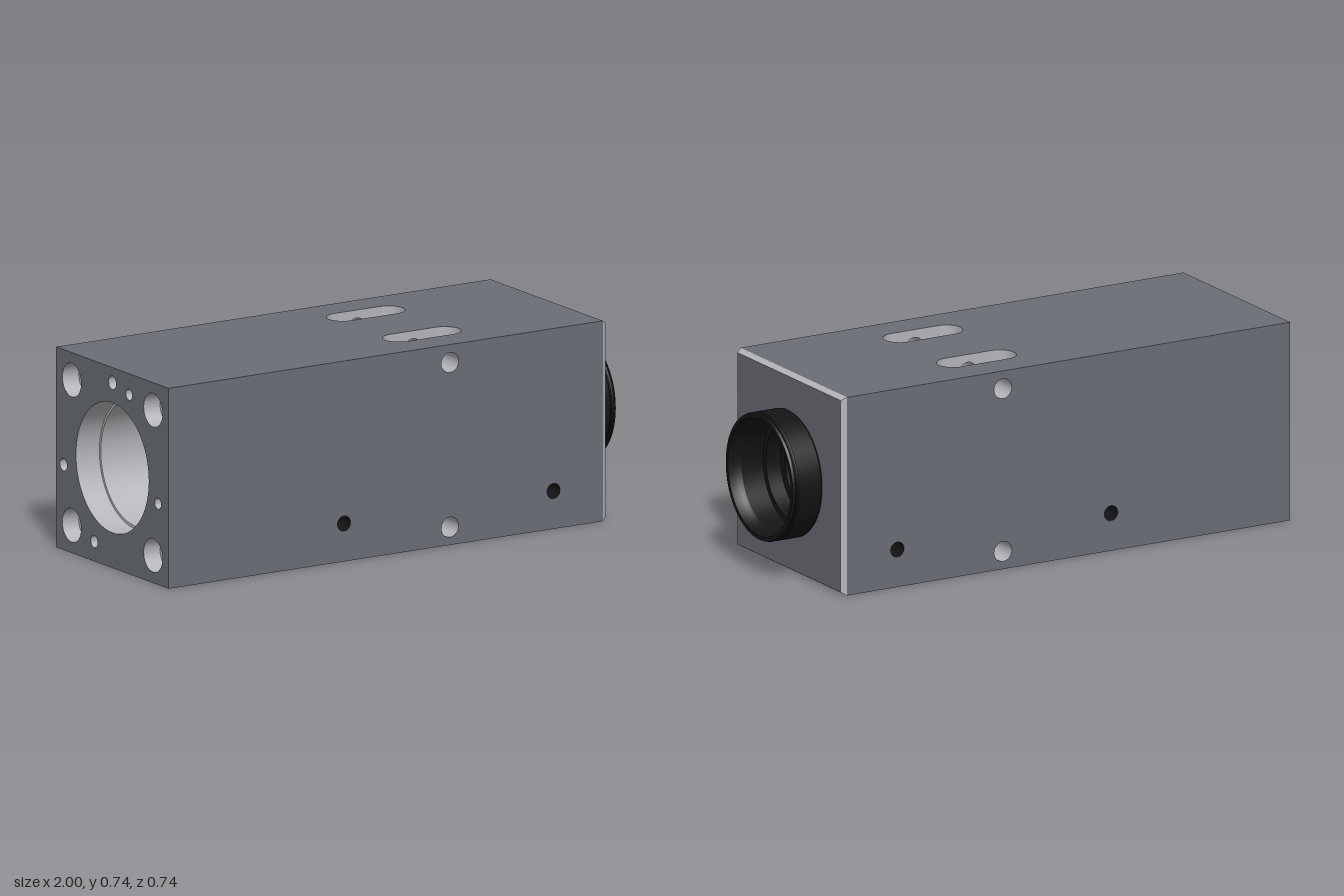
import * as THREE from 'three';
import { toCreasedNormals } from 'three/addons/utils/BufferGeometryUtils.js';

// Main sizes; everything is laid out around the optical axis (the x axis)
const H = 0.37, X0 = -1, X1 = 0.855, X2 = 0.875, CH = 0.012;
const BORE = 0.23, COUNTERBORE = 0.24, BORE_END = 0.7;
const SLOT = { x: 0.2025, z: 0.185, r: 0.06, half: 0.0975 };
const CROSS = { x: 0.2025, y: 0.304, r: 0.037 };
const SCREW = { xs: [-0.25, 0.645], y: -0.23, r: 0.028, depth: 0.1 };

const paint = (color) => new THREE.MeshStandardMaterial({ color, side: THREE.DoubleSide });

function rect(x0, y0, x1, y1) {
  return new THREE.Shape([[x0, y0], [x1, y0], [x1, y1], [x0, y1]].map(p => new THREE.Vector2(...p)));
}
function circle(x, y, r) {
  return new THREE.Path().absarc(x, y, r, 0, Math.PI * 2, true);
}
function plate(shape, holes) {
  shape.holes.push(...holes);
  return new THREE.ShapeGeometry(shape, 32);
}
// Turned part along x from [radius, x] pairs
function turned(points, segments = 32) {
  const g = new THREE.LatheGeometry(points.map(p => new THREE.Vector2(...p)), segments);
  return toCreasedNormals(g.rotateZ(-Math.PI / 2), 0.5);
}

// Long bore wall, cut open where the slots break through it
function boreWall() {
  const pos = [], nor = [], N = 192;
  const halfCut = z => SLOT.half + Math.sqrt(Math.max(0, SLOT.r ** 2 - (Math.abs(z) - SLOT.z) ** 2));
  for (let i = 0; i < N; i++) {
    const [a, b] = [i, i + 1].map(k => {
      const t = k / N * Math.PI * 2;
      return { y: Math.cos(t), z: Math.sin(t) };
    });
    const cut = Math.abs(a.z + b.z) / 2 * BORE > SLOT.z - SLOT.r;
    const ha = cut ? halfCut(a.z * BORE) : 0, hb = cut ? halfCut(b.z * BORE) : 0;
    const spans = [[-0.9, -0.9, SLOT.x - ha, SLOT.x - hb], [SLOT.x + ha, SLOT.x + hb, BORE_END, BORE_END]];
    for (const [a0, b0, a1, b1] of spans) {
      for (const [x, p] of [[a0, a], [a1, a], [b1, b], [a0, a], [b1, b], [b0, b]]) {
        pos.push(x, p.y * BORE, p.z * BORE);
        nor.push(0, -p.y, -p.z);
      }
    }
  }
  const g = new THREE.BufferGeometry();
  g.setAttribute('position', new THREE.Float32BufferAttribute(pos, 3));
  g.setAttribute('normal', new THREE.Float32BufferAttribute(nor, 3));
  return g;
}

export function createModel() {
  const model = new THREE.Group();
  model.name = 'cameraHousing';
  const core = new THREE.Group();
  core.name = 'housing';
  core.position.y = H;
  model.add(core);

  const shell = paint(0x6a6d75), metal = paint(0xb4b6ba), black = paint(0x141414);
  const add = (name, geometry, material, parent = core) => {
    const mesh = new THREE.Mesh(geometry, material);
    mesh.name = name;
    parent.add(mesh);
    return mesh;
  };

  // Top and bottom plates with two long slots each
  const slotPath = z => {
    const p = new THREE.Path();
    p.absarc(SLOT.x + SLOT.half, z, SLOT.r, -Math.PI / 2, Math.PI / 2, false);
    p.absarc(SLOT.x - SLOT.half, z, SLOT.r, Math.PI / 2, Math.PI * 1.5, false);
    return p;
  };
  for (const s of [1, -1]) {
    const g = plate(rect(X0, -H, X1, H), [slotPath(SLOT.z), slotPath(-SLOT.z)]);
    add(s > 0 ? 'topPlate' : 'bottomPlate', g.rotateX(-s * Math.PI / 2).translate(0, s * H, 0), shell);
  }

  // Front and back plates with cross holes and blind screw holes
  for (const s of [1, -1]) {
    const holes = [
      circle(CROSS.x, CROSS.y, CROSS.r), circle(CROSS.x, -CROSS.y, CROSS.r),
      ...SCREW.xs.map(x => circle(x, SCREW.y, SCREW.r)),
    ];
    // The back plate is mirrored in z so its outside faces -z
    const side = new THREE.Group();
    side.name = s > 0 ? 'frontSide' : 'backSide';
    side.scale.z = s;
    core.add(side);
    add('sidePlate', plate(rect(X0, -H, X1, H), holes).translate(0, 0, H), shell, side);
    for (const x of SCREW.xs) {
      const g = new THREE.CylinderGeometry(SCREW.r, SCREW.r, SCREW.depth, 20, 1, true).rotateX(Math.PI / 2);
      add('screwHole', g.translate(x, SCREW.y, H - SCREW.depth / 2), black, side);
      add('screwHoleFloor', new THREE.CircleGeometry(SCREW.r, 20)
        .translate(x, SCREW.y, H - SCREW.depth), black, side);
    }
  }

  // Bevelled rim and lens end plate
  const q = Math.SQRT2;
  const bevel = new THREE.CylinderGeometry((H - CH) * q, H * q, X2 - X1, 4, 1, true).toNonIndexed();
  bevel.rotateY(Math.PI / 4).rotateZ(-Math.PI / 2).translate((X1 + X2) / 2, 0, 0);
  bevel.computeVertexNormals();
  add('bevelledRim', bevel, metal);
  const e = H - CH;
  add('lensEndPlate', plate(rect(-e, -e, e, e), [circle(0, 0, BORE)])
    .rotateY(Math.PI / 2).translate(X2, 0, 0), shell);

  // Rear end plate: [z, y, radius] of corner mounts and small tapped holes
  const corners = [1, -1].flatMap(a => [1, -1].map(b => [a * 0.268, b * 0.268, 0.062]));
  const tapped = [[0, 0.314, 0.025], [0.11, 0.293, 0.021], [0.3, -0.07, 0.021],
    [-0.322, -0.055, 0.023], [-0.12, -0.297, 0.023]];
  const rearHoles = [...corners, ...tapped].map(([z, y, r]) => circle(z, y, r));
  add('rearEndPlate', plate(rect(-H, -H, H, H), [circle(0, 0, COUNTERBORE), ...rearHoles])
    .rotateY(-Math.PI / 2).scale(1, 1, -1).translate(X0, 0, 0).rotateY(0), shell).geometry = 
    plate(rect(-H, -H, H, H), [circle(0, 0, COUNTERBORE),
      ...[...corners, ...tapped].map(([z, y, r]) => circle(z, y, r))])
      .rotateY(-Math.PI / 2).translate(X0, 0, 0);
  for (const [z, y, r] of corners) {
    add('cornerMountHole', turned([[r, X0], [r, -0.93], [r * 0.72, -0.93], [r * 0.72, -0.75], [0, -0.75]])
      .translate(0, y, z), metal);
  }
  for (const [z, y, r] of tapped) {
    add('tappedHole', turned([[r, X0], [r, -0.88], [0, -0.87]], 20).translate(0, y, z), metal);
  }

  // Main bore
  add('counterbore', turned([[COUNTERBORE, X0], [COUNTERBORE, -0.9], [BORE, -0.9]], 96), metal);
  add('boreWall', boreWall(), metal);

  // Slot walls and cross holes, one quarter mirrored four ways
  const boreY = z => Math.sqrt(Math.max(0, BORE ** 2 - z ** 2));
  for (const sy of [1, -1]) for (const sz of [1, -1]) {
    const quarter = new THREE.Group();
    quarter.name = 'slot';
    quarter.scale.set(1, sy, sz);
    core.add(quarter);
    for (const s of [1, -1]) {
      // Rounded end, its inner edge trimmed to the bore
      const g = new THREE.CylinderGeometry(SLOT.r, SLOT.r, 1, 20, 1, true, s > 0 ? 0 : Math.PI, Math.PI);
      g.translate(SLOT.x + s * SLOT.half, 0, SLOT.z);
      const p = g.attributes.position;
      for (let i = 0; i < p.count; i++) p.setY(i, p.getY(i) > 0 ? H : boreY(p.getZ(i)));
      add('slotEnd', g, metal, quarter);
      // Straight wall pierced by the cross hole
      const z = SLOT.z + s * SLOT.r;
      const wall = rect(SLOT.x - SLOT.half, boreY(z), SLOT.x + SLOT.half, H);
      add('slotWall', plate(wall, [circle(CROSS.x, CROSS.y, CROSS.r)]).translate(0, 0, z), metal, quarter);
    }
    for (const [z0, z1] of [[0, SLOT.z - SLOT.r], [SLOT.z + SLOT.r, H]]) {
      const g = new THREE.CylinderGeometry(CROSS.r, CROSS.r, z1 - z0, 32, 1, true).rotateX(Math.PI / 2);
      add('crossHole', g.translate(CROSS.x, CROSS.y, (z0 + z1) / 2), metal, quarter);
    }
  }

  // Stepped lens mount ring
  add('lensMount', turned([
    [0.152, 0.7], [BORE, 0.7], [BORE, X2], [0.235, 0.882], [0.235, 0.975], [0.231, 0.98], [0.231, 0.985],
    [0.235, 0.99], [0.232, 1], [0.217, 1], [0.213, 0.96], [0.207, 0.95], [0.207, 0.86],
    [0.185, 0.86], [0.185, 0.8], [0.152, 0.8], [0.152, 0.7],
  ], 96), black);

  return model;
}
